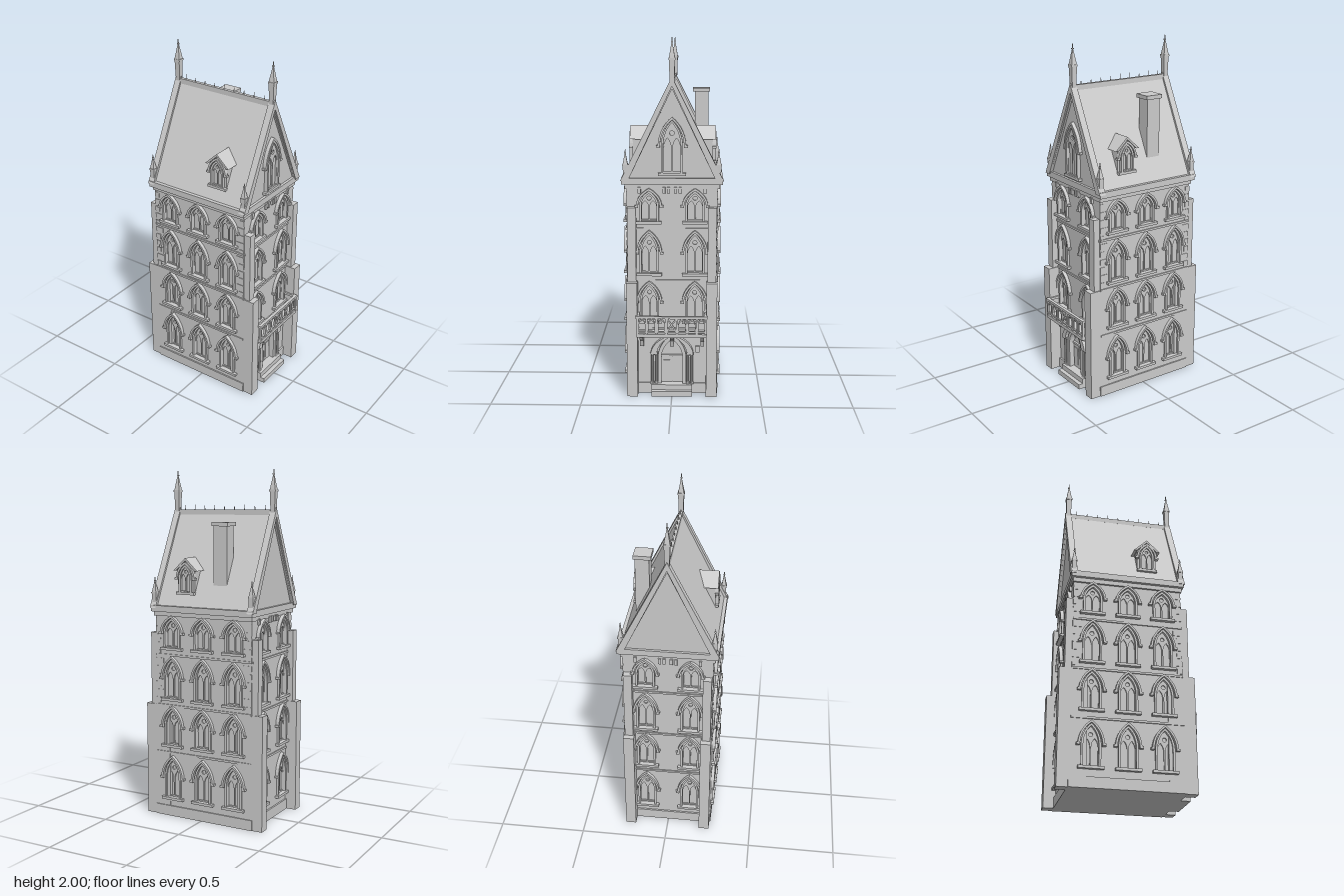
import * as THREE from 'three';

const mat = new THREE.MeshStandardMaterial({ color: 0xcccccc, flatShading: true });

function add(parent, name, geo, x = 0, y = 0, z = 0) {
  const m = new THREE.Mesh(geo, mat);
  m.name = name;
  m.position.set(x, y, z);
  parent.add(m);
  return m;
}
// box given by its x, y and z ranges
const block = (p, name, x0, x1, y0, y1, z0, z1) =>
  add(p, name, new THREE.BoxGeometry(x1 - x0, y1 - y0, z1 - z0), (x0 + x1) / 2, (y0 + y1) / 2, (z0 + z1) / 2);
const extrude = (shape, depth) =>
  new THREE.ExtrudeGeometry(shape, { depth, bevelEnabled: false, curveSegments: 7 });
const poly = pts => new THREE.Shape(pts.map(p => new THREE.Vector2(p[0], p[1])));
function group(p, name, x = 0, y = 0, z = 0) {
  const g = new THREE.Group();
  g.name = name;
  g.position.set(x, y, z);
  p.add(g);
  return g;
}

// pointed arch outline: half width w, base y0, spring s, peak h
function arch(w, y0, s, h, x = 0, y = 0, Type = THREE.Shape) {
  const a = new Type(), c = s + (h - s) * 0.62;
  a.moveTo(x - w, y + y0);
  a.lineTo(x + w, y + y0);
  a.lineTo(x + w, y + s);
  a.quadraticCurveTo(x + w * 0.92, y + c, x, y + h);
  a.quadraticCurveTo(x - w * 0.92, y + c, x - w, y + s);
  a.lineTo(x - w, y + y0);
  return a;
}
// band following the arch, from height y0 up
function archBand(wo, wi, y0, s, ho, hi) {
  const a = new THREE.Shape(), co = s + (ho - s) * 0.62, ci = s + (hi - s) * 0.62;
  a.moveTo(wo, y0);
  a.lineTo(wo, s);
  a.quadraticCurveTo(wo * 0.92, co, 0, ho);
  a.quadraticCurveTo(-wo * 0.92, co, -wo, s);
  a.lineTo(-wo, y0);
  a.lineTo(-wi, y0);
  a.lineTo(-wi, s);
  a.quadraticCurveTo(-wi * 0.92, ci, 0, hi);
  a.quadraticCurveTo(wi * 0.92, ci, wi, s);
  a.lineTo(wi, y0);
  return a;
}

// gothic window with sill, jambs, hood and two-light tracery
function gothicWindow(p, x, y, z, w, H, lift = 0) {
  const g = group(p, 'window', x, y, z), s = H * 0.52, top = H - 0.022;
  block(g, 'sill', -w - 0.022, w + 0.022, 0, 0.015, -0.005, 0.022);
  add(g, 'hood', extrude(archBand(w + 0.024, w + 0.012, s, s, H, H - 0.014), 0.021));
  add(g, 'jambs', extrude(archBand(w + 0.006, w - 0.006, 0.012, s, top + 0.006, top - 0.008), 0.022), 0, 0, -0.01 + lift * 0.5);
  for (const k of [-1, 1]) block(g, 'hoodStop', k * (w + 0.022) - 0.01, k * (w + 0.022) + 0.01, s - 0.012, s, 0, 0.021);
  const t = arch(w - 0.002, 0.012, s, top);
  for (const k of [-1, 1]) t.holes.push(arch(w * 0.38, 0.022, s * 0.9, s + (top - s) * 0.3, k * w * 0.46, 0, THREE.Path));
  t.holes.push(new THREE.Path().absarc(0, s + (top - s) * 0.5, w * 0.24, 0, Math.PI * 2));
  add(g, 'tracery', extrude(t, 0.008), 0, 0, -0.014 + lift);
}

const HX = 0.25, HZ = 0.31, TOP = 1.2, T = 0.02;
const ROWS = [[0.1, 0.265], [0.415, 0.245], [0.69, 0.26], [0.985, 0.2]];

// one wall facing local +z, with window openings
function wall(p, name, rot, dist, half, cols, firstRow, door) {
  const g = group(p, name);
  g.rotation.y = rot;
  const sh = poly([[-half, 0], [half, 0], [half, TOP], [-half, TOP]]);
  ROWS.slice(firstRow).forEach(([y, H]) => cols.forEach(x => {
    sh.holes.push(arch(0.048, 0.012, H * 0.52, H - 0.022, x, y, THREE.Path));
    gothicWindow(g, x, y, dist, 0.048, H);
  }));
  if (door) sh.holes.push(arch(0.062, 0.06, 0.22, 0.325, 0, 0, THREE.Path));
  add(g, 'wallPanel', extrude(sh, T), 0, 0, dist - T);
  for (const y of [0.38, 0.66, 0.955]) block(g, 'stringCourse', -half, half, y - 0.006, y + 0.006, dist - 0.01, dist + 0.007);
  return g;
}

// square pinnacle that widens upward to a spire with a spike
function pinnacle(p, x, y, z, h, r) {
  const g = group(p, 'pinnacle', x, y, z), q = Math.SQRT2;
  const part = (name, rt, rb, y0, y1) => {
    const geo = new THREE.CylinderGeometry(rt * q, rb * q, (y1 - y0) * h, 4).rotateY(Math.PI / 4);
    add(g, name, geo, 0, (y0 + y1) / 2 * h, 0);
  };
  part('shaft', r * 0.85, r * 0.65, -0.1, 0.45);
  part('collar', r, r, 0.45, 0.5);
  part('spire', r * 0.12, r * 0.85, 0.5, 0.88);
  part('spike', r * 0.1, r * 0.12, 0.88, 1);
  part('knop', r * 0.28, r * 0.28, 0.87, 0.9);
}

export function createModel() {
  const root = new THREE.Group();
  root.name = 'gothicTownHouse';
  const house = group(root, 'house', 0, 0, -0.0125);

  // core, plinth and walls
  block(house, 'core', -HX + T, HX - T, 0, TOP, -HZ + T, HZ - T);
  for (const k of [-1, 1]) {
    block(house, 'sidePlinth', Math.min(k * 0.24, k * 0.258), Math.max(k * 0.24, k * 0.258), 0, 0.06, -0.317, 0.317);
    block(house, 'endPlinth', -0.25, 0.25, 0, 0.06, k > 0 ? 0.3 : -0.32, k > 0 ? 0.32 : -0.3);
  }
  const front = wall(house, 'frontWall', 0, HZ, HX - 0.002, [-0.127, 0.127], 1, true);
  const back = wall(house, 'backWall', Math.PI, HZ, HX - 0.002, [-0.127, 0.127], 0, false);
  const sides = [1, -1].map(k => wall(house, k > 0 ? 'leftWall' : 'rightWall', k * Math.PI / 2, HX, HZ, [-0.2, 0, 0.2], 0, false));

  // corner buttresses in two stages, quoins above
  for (const sx of [-1, 1]) for (const sz of [-1, 1]) {
    const b = group(house, 'buttress', sx * 0.222, 0, sz * 0.3);
    add(b, 'lowerStage', new THREE.BoxGeometry(0.06, 0.66, 0.156), 0, 0.33, 0);
    add(b, 'upperStage', new THREE.BoxGeometry(0.048, 0.42, 0.096), 0, 0.87, 0);
    for (let i = 0; i < 11; i++)
      add(house, 'quoin', new THREE.BoxGeometry(0.006, 0.03, i % 2 ? 0.05 : 0.03), sx * HX, 0.69 + i * 0.046, sz * (HZ - (i % 2 ? 0.025 : 0.015)));
  }

  // eaves cornice and corbels
  block(house, 'lowerCornice', -0.262, 0.262, 1.18, 1.21, -0.315, 0.315);
  block(house, 'eavesGutter', -0.28, 0.28, 1.205, 1.24, -0.325, 0.325);
  for (const w of [front, back]) for (const x of [-0.18, -0.045, -0.02, 0.02, 0.045, 0.18])
    block(w, 'corbel', x - 0.008, x + 0.008, 1.155, 1.19, HZ - 0.01, HZ + 0.012);

  // roof, gable copings, ridge crest
  add(house, 'roof', extrude(poly([[-0.262, 1.235], [0.262, 1.235], [0, 1.77]]), 0.62), 0, 0, -0.31);
  const coping = poly([[0.284, 1.225], [0, 1.79], [-0.284, 1.225], [-0.242, 1.225], [0, 1.74], [0.242, 1.225]]);
  const moulding = poly([[0.255, 1.24], [0, 1.755], [-0.255, 1.24], [-0.235, 1.24], [0, 1.725], [0.235, 1.24]]);
  for (const k of [-1, 1]) {
    add(house, 'gableCoping', extrude(coping, 0.038), 0, 0, k > 0 ? 0.293 : -0.331);
    add(house, 'gableMoulding', extrude(moulding, 0.03), 0, 0, k > 0 ? 0.292 : -0.322);
    pinnacle(house, 0, 1.78, k * 0.311, 0.22, 0.019);
    for (const sx of [-1, 1]) pinnacle(house, sx * 0.256, 1.23, k * 0.311, 0.17, 0.016);
  }
  block(house, 'ridgeCap', -0.01, 0.01, 1.75, 1.779, -0.295, 0.295);
  for (let i = -4; i <= 4; i++)
    add(house, 'crestSpike', new THREE.ConeGeometry(0.004, 0.035, 4), 0, 1.792, i * 0.065);

  // front gable window
  gothicWindow(front, 0, 1.255, HZ, 0.054, 0.32, 0.018);

  // chimney
  block(house, 'chimneyStack', 0.122, 0.2, 1.32, 1.7, -0.126, -0.042);
  block(house, 'chimneyCap', 0.111, 0.209, 1.69, 1.712, -0.135, -0.033);

  // a dormer on each slope
  sides.forEach((w, i) => {
    const d = group(w, 'dormer', i ? 0.1195 : -0.1195, 0, 0);
    add(d, 'dormerBody', extrude(poly([[-0.055, 1.29], [0.055, 1.29], [0.055, 1.45], [0, 1.5], [-0.055, 1.45]]), 0.125), 0, 0, 0.1);
    add(d, 'dormerRoof', extrude(poly([[-0.077, 1.44], [-0.06, 1.44], [0, 1.497], [0.06, 1.44], [0.077, 1.44], [0, 1.512]]), 0.128), 0, 0, 0.112);
    gothicWindow(d, 0, 1.305, 0.222, 0.036, 0.185, 0.018);
  });

  // entrance: steps, double door, arched portal, columns, lamp
  const e = group(front, 'entrance');
  block(e, 'upperStep', -0.115, 0.115, 0, 0.06, 0.29, 0.35);
  block(e, 'lowerStep', -0.115, 0.115, 0, 0.03, 0.34, 0.375);
  for (const k of [-1, 1]) {
    block(e, 'doorLeaf', k * 0.03 - 0.028, k * 0.03 + 0.028, 0.06, 0.21, 0.285, 0.297);
    block(e, 'doorPanel', k * 0.03 - 0.018, k * 0.03 + 0.018, 0.08, 0.19, 0.29, 0.301);
    for (const x of [0.09, 0.112]) {
      add(e, 'column', new THREE.CylinderGeometry(0.007, 0.007, 0.16, 8), k * x, 0.15, 0.325);
      add(e, 'capital', new THREE.CylinderGeometry(0.012, 0.007, 0.02, 8), k * x, 0.235, 0.325);
      add(e, 'columnBase', new THREE.CylinderGeometry(0.008, 0.012, 0.015, 8), k * x, 0.067, 0.325);
    }
  }
  block(e, 'transom', -0.06, 0.06, 0.21, 0.222, 0.285, 0.303);
  add(e, 'portalArch', extrude(archBand(0.08, 0.06, 0.06, 0.22, 0.35, 0.32), 0.022), 0, 0, HZ - 0.005);
  add(e, 'outerArch', extrude(archBand(0.12, 0.085, 0.235, 0.245, 0.355, 0.345), 0.03), 0, 0, HZ);
  block(e, 'lamp', 0.134, 0.156, 0.245, 0.28, HZ, HZ + 0.015);

  // balcony on brackets
  const b = group(front, 'balcony');
  block(b, 'slab', -0.195, 0.195, 0.355, 0.375, 0.3, 0.4);
  block(b, 'topRail', -0.2, 0.2, 0.463, 0.477, 0.382, 0.4);
  block(b, 'bottomRail', -0.19, 0.19, 0.382, 0.391, 0.386, 0.397);
  for (const k of [-1, 1]) block(b, 'sideRail', k * 0.19 - 0.008, k * 0.19 + 0.008, 0.463, 0.477, 0.31, 0.39);
  for (const x of [-0.19, -0.14, -0.085, -0.03, 0.03, 0.085, 0.14, 0.19])
    block(b, 'post', x - 0.006, x + 0.006, 0.37, 0.47, 0.384, 0.398);
  for (const x of [-0.165, -0.1125, -0.0575, 0.0575, 0.1125, 0.165])
    add(b, 'panelArch', extrude(archBand(0.021, 0.016, 0.39, 0.43, 0.462, 0.452), 0.008), x, 0, 0.387);
  for (const k of [-1, 1])
    add(b, 'crossBar', new THREE.BoxGeometry(0.008, 0.09, 0.008), 0, 0.427, 0.391).rotation.z = k * 0.62;
  const bracket = poly([[0, 0.28], [0.015, 0.28], [0.025, 0.315], [0.07, 0.34], [0.08, 0.356], [0, 0.356]]);
  for (const x of [-0.17, 0, 0.17])
    add(b, 'bracket', extrude(bracket, 0.02), x + 0.01, 0, HZ).rotation.y = -Math.PI / 2;

  return root;
}
